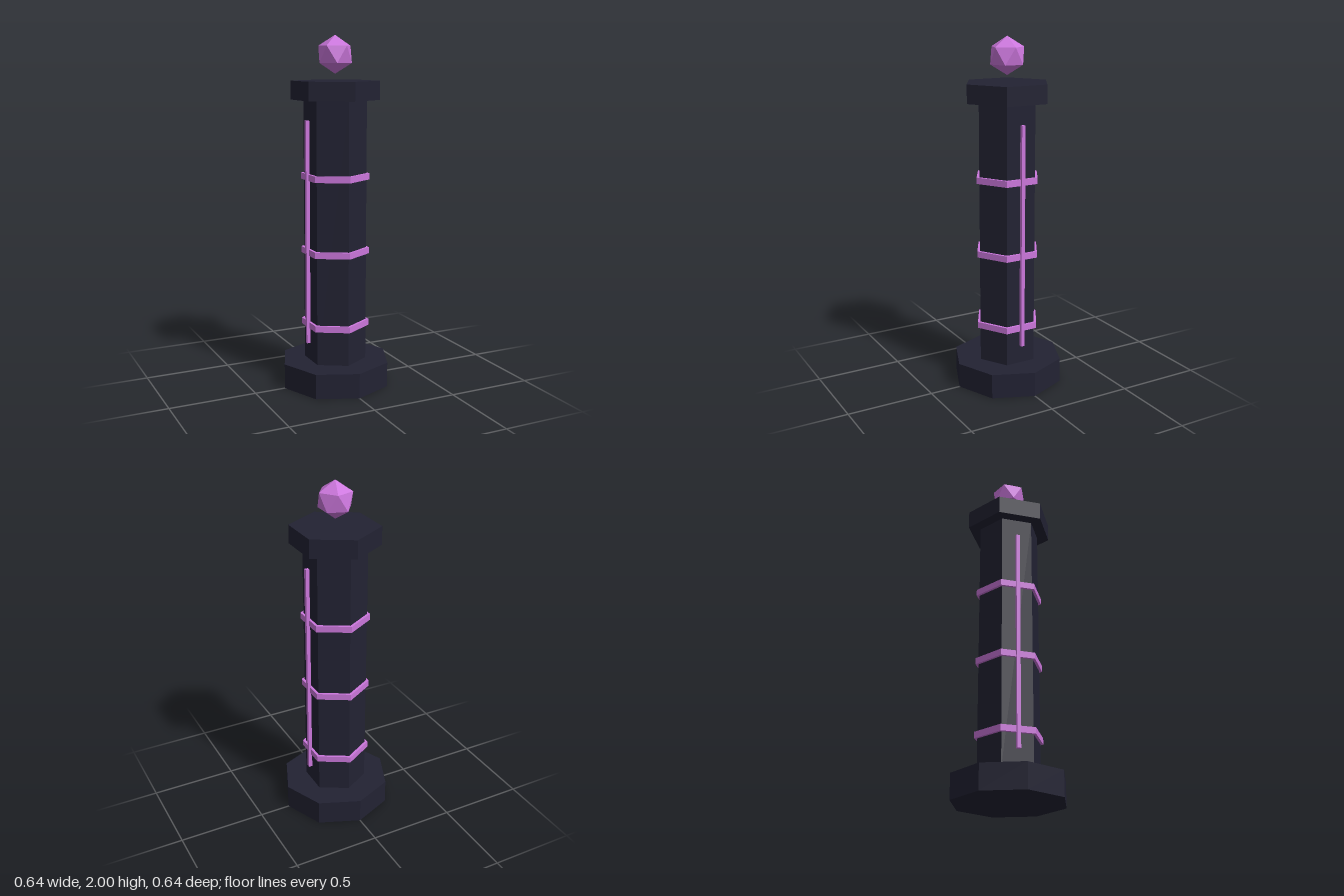
import * as THREE from 'three';

export function createModel() {
  const model = new THREE.Group();
  model.name = 'crystalPillar';

  const stone = new THREE.MeshStandardMaterial({ color: 0x222233, flatShading: true });
  stone.name = 'dark stone';
  const glow = new THREE.MeshStandardMaterial({ color: 0xcc77dd, flatShading: true });
  glow.name = 'violet crystal';

  const add = (name, geometry, material, x, y) => {
    const mesh = new THREE.Mesh(geometry, material);
    mesh.name = name;
    mesh.position.set(x, y, 0);
    model.add(mesh);
    return mesh;
  };

  // Upright prism between two heights, with a corner towards the front
  const prism = (name, radius, bottom, top, sides, material) =>
    add(name, new THREE.CylinderGeometry(radius, radius, top - bottom, sides), material, 0, (bottom + top) / 2);

  // Stone body
  prism('base', 0.32, 0, 0.143, 8, stone);
  prism('column', 0.178, 0.143, 1.645, 6, stone);
  prism('capital', 0.25, 1.645, 1.75, 6, stone);

  // Glowing bands around the column
  [0.36, 0.788, 1.216].forEach((y, i) => prism('band' + (i + 1), 0.195, y - 0.018, y + 0.018, 6, glow));

  // Thin upright rods on both sides
  for (const side of [-1, 1]) {
    add(side > 0 ? 'leftRod' : 'rightRod', new THREE.BoxGeometry(0.021, 1.28, 0.021), glow, side * 0.172, 0.893);
  }

  // Floating crystal, turned to stand on one corner
  const crystal = add('crystal', new THREE.IcosahedronGeometry(0.106, 0), glow, 0, 1.894);
  crystal.rotation.z = -Math.atan(2 / (1 + Math.sqrt(5)));

  return model;
}
